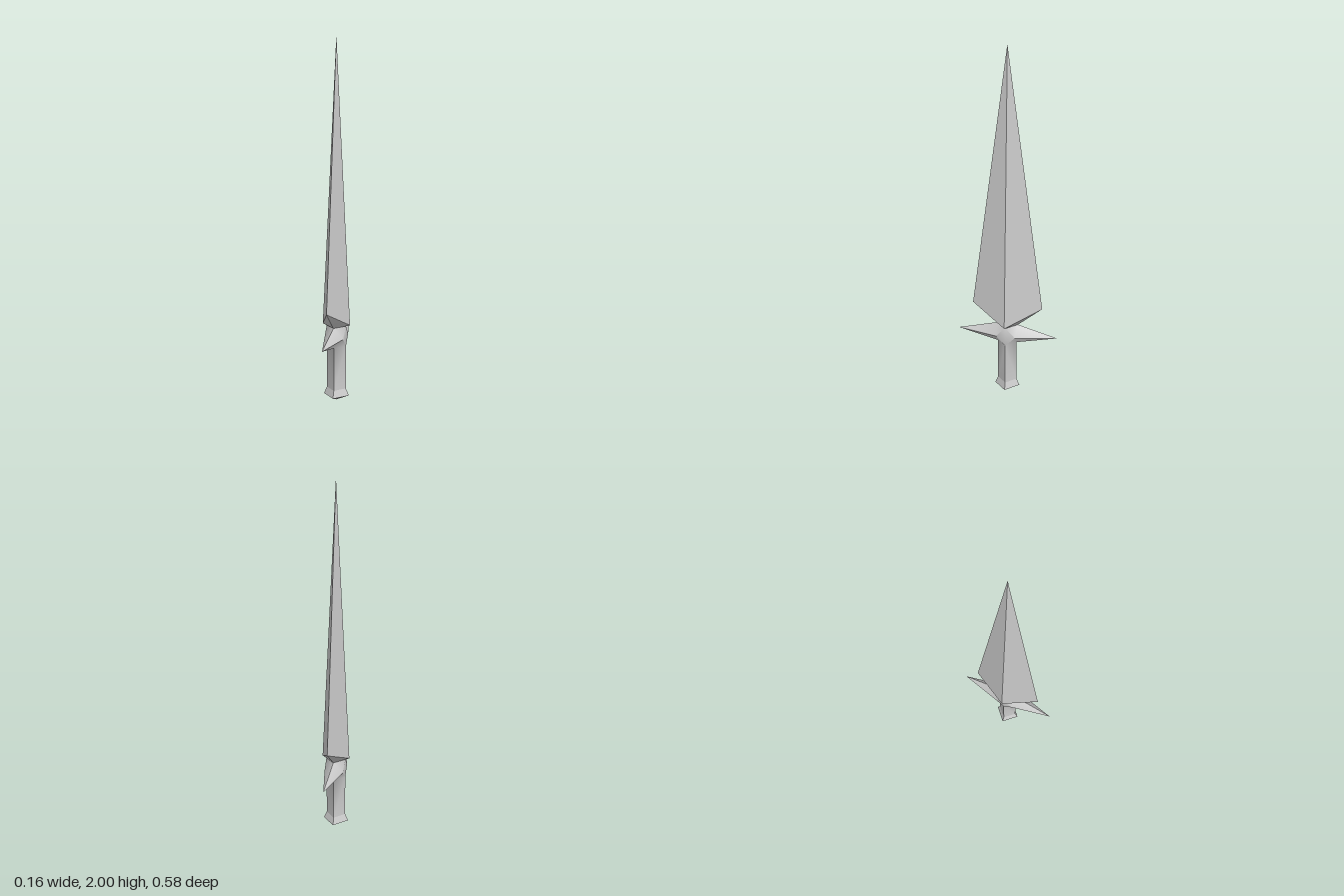
import * as THREE from 'three';
import { toCreasedNormals } from 'three/addons/utils/BufferGeometryUtils.js';

// Mirror a front-left quarter of triangles into all four quarters
function fourfold(triangles, crease) {
  const positions = [];
  for (const sx of [1, -1]) {
    for (const sz of [1, -1]) {
      for (const [a, b, c] of triangles) {
        const corners = sx * sz > 0 ? [a, b, c] : [a, c, b];
        for (const [x, y, z] of corners) positions.push(x * sx, y, z * sz);
      }
    }
  }
  const geometry = new THREE.BufferGeometry();
  geometry.setAttribute('position', new THREE.Float32BufferAttribute(positions, 3));
  return toCreasedNormals(geometry, crease);
}

// A diamond section has one corner on the x axis and one on the z axis
const section = (y, x, z) => ({ x: [x, y, 0], z: [0, y, z] });
const band = (low, high) => [[low.z, low.x, high.x], [low.z, high.x, high.z]];

export function createModel() {
  const group = new THREE.Group();
  const steel = new THREE.MeshStandardMaterial({ color: 0xcccccc });
  steel.name = 'steel';

  const add = (name, triangles, crease) => {
    const mesh = new THREE.Mesh(fourfold(triangles, crease), steel);
    mesh.name = name;
    group.add(mesh);
  };

  const pommelRim = section(0.03, 0.072, 0.072);
  const gripBase = section(0.07, 0.055, 0.055);
  const gripTop = section(0.315, 0.055, 0.055);
  const neck = section(0.43, 0.055, 0.062);
  const bladeBase = { x: [0.078, 0.437, 0], z: [0, 0.545, 0.2] };

  // Pommel: flared collar over a shallow pointed cap
  add('pommel', [[[0, 0, 0], pommelRim.x, pommelRim.z], ...band(pommelRim, gripBase)], 0.5);

  // Grip blending into a crossguard with a spike at front and back
  const shoulder = [0.053, 0.37, 0.055];
  const spikeTip = [0, 0.37, 0.288];
  add('gripAndCrossguard', [
    ...band(gripBase, gripTop),
    [gripTop.z, gripTop.x, shoulder],
    [gripTop.x, neck.x, shoulder],
    [neck.x, neck.z, shoulder],
    [gripTop.z, shoulder, spikeTip],
    [shoulder, neck.z, spikeTip],
  ], 1.1);

  // Blade: long four-sided point with a swept-back underside
  add('blade', [...band(neck, bladeBase), [bladeBase.z, bladeBase.x, [0, 2, 0]]], 0.5);

  return group;
}
